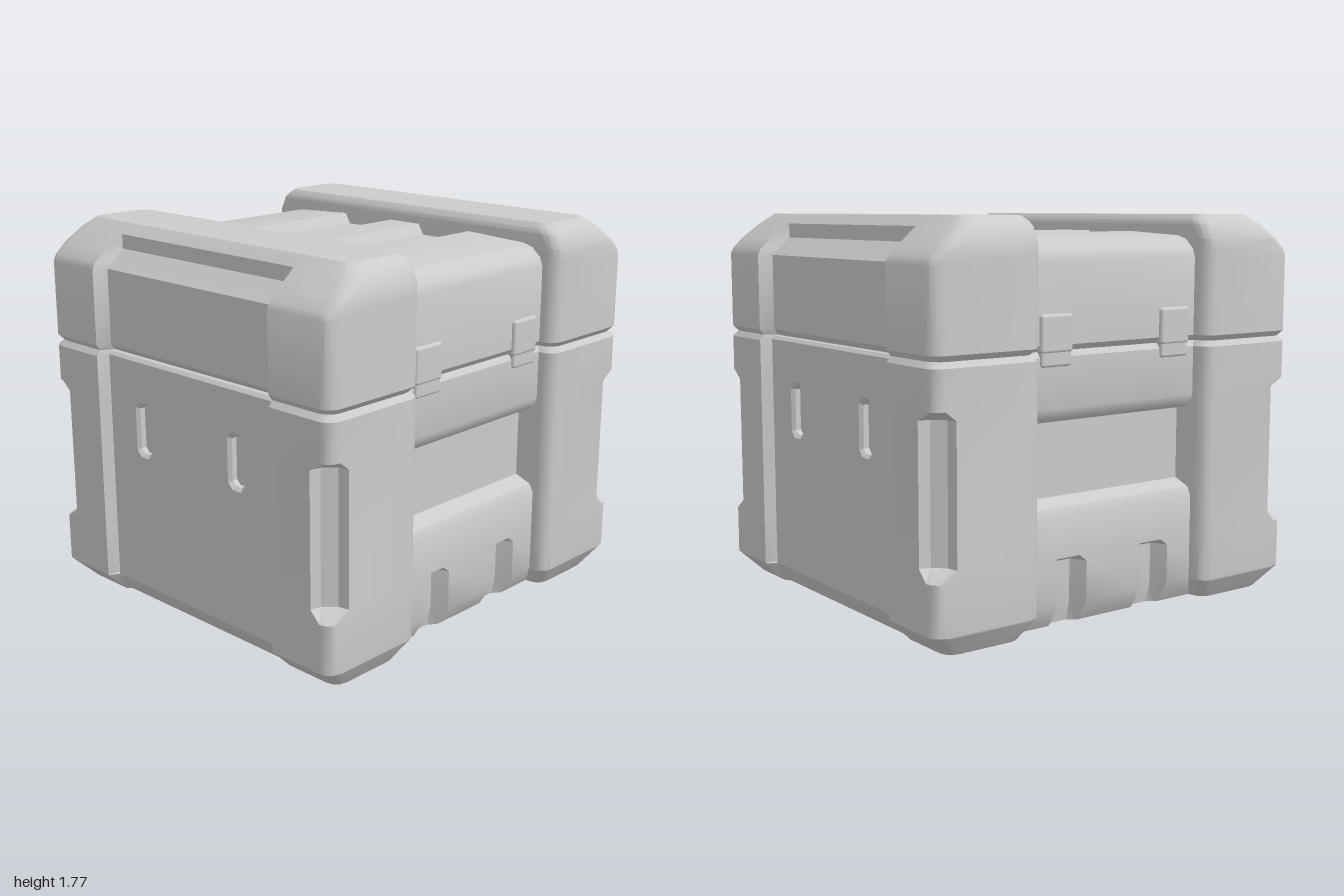
import * as THREE from 'three';
import { toCreasedNormals } from 'three/addons/utils/BufferGeometryUtils.js';
import { RoundedBoxGeometry } from 'three/addons/geometries/RoundedBoxGeometry.js';

const material = new THREE.MeshStandardMaterial({ color: 0xcccccc });

function addPart(parent, name, geometry) {
  const mesh = new THREE.Mesh(geometry, material);
  mesh.name = name;
  parent.add(mesh);
  return mesh;
}

// Skin rings of equal length stacked along +x or +y, with both ends capped.
function loft(rings, axis) {
  const flat = (p) => (axis === 'y' ? new THREE.Vector2(p.z, p.x) : new THREE.Vector2(p.y, p.z));
  if (THREE.ShapeUtils.isClockWise(rings[0].map(flat))) rings = rings.map((r) => r.slice().reverse());
  const n = rings[0].length, last = rings.length - 1, index = [];
  for (let r = 0; r < last; r++) {
    for (let i = 0; i < n; i++) {
      const a = r * n + i, b = r * n + (i + 1) % n;
      index.push(a, b, b + n, a, b + n, a + n);
    }
  }
  for (const [a, b, c] of THREE.ShapeUtils.triangulateShape(rings[0].map(flat), [])) index.push(a, c, b);
  for (const t of THREE.ShapeUtils.triangulateShape(rings[last].map(flat), [])) index.push(...t.map((i) => i + last * n));
  const geometry = new THREE.BufferGeometry().setFromPoints(rings.flat());
  geometry.setIndex(index);
  return toCreasedNormals(geometry.toNonIndexed(), 0.55);
}

// Horizontal outline of an end frame: two corner posts with a set-back middle.
function frameRing(side, [y, xOut, xMid, z, xIn, notched]) {
  const r = 0.06, half = [];
  const arc = (cx, cz, from) => {
    for (let i = 0; i < 4; i++) {
      const a = from - (i / 3) * Math.PI / 2;
      half.push([cx + r * Math.cos(a), cz + r * Math.sin(a)]);
    }
  };
  arc(xIn + r, z - r, Math.PI);
  if (notched) half.push([0.89, z], [0.9, 0.86], [0.95, 0.81], [xOut, 0.8]);
  else arc(xOut - r, z - r, Math.PI / 2);
  half.push([xOut, 0.57], [xMid, 0.54]);
  const back = half.map(([x, zz]) => [x, -zz]).reverse();
  return [...half, ...back].map(([x, zz]) => new THREE.Vector3(side * x, y, zz));
}

// Front-to-back section of the centre, mirrored from its front half of [z, y].
function sectionRing(x, half) {
  const back = half.map(([z, y]) => [-z, y]).reverse();
  return [...half, ...back].map(([z, y]) => new THREE.Vector3(x, y, z));
}

// Side panel with two bevelled grip slots.
function sidePanelGeometry() {
  const shape = new THREE.Shape();
  shape.moveTo(-0.56, 0.085).lineTo(0.56, 0.085).lineTo(0.56, 1.2).lineTo(-0.56, 1.2).closePath();
  for (const z of [-0.31, 0.31]) {
    const w = 0.04, c = 0.02, b = 0.755, t = 0.985;
    const hole = new THREE.Path();
    hole.moveTo(z - w, b + c).lineTo(z - w, t - c).lineTo(z - w + c, t).lineTo(z + w - c, t);
    hole.lineTo(z + w, t - c).lineTo(z + w, b + c).lineTo(z + w - c, b).lineTo(z - w + c, b).closePath();
    shape.holes.push(hole);
  }
  const bevel = 0.015;
  const geometry = new THREE.ExtrudeGeometry(shape, {
    depth: 0.03, bevelEnabled: true, bevelSize: bevel, bevelThickness: bevel, bevelOffset: -bevel, bevelSegments: 1,
  });
  geometry.rotateY(Math.PI / 2).translate(0.905, 0, 0);
  return geometry;
}

export function createModel() {
  const crate = new THREE.Group();
  crate.name = 'crate';

  // Levels: y, outer x, middle x, z, inner x, corner notch
  const baseLevels = [
    [0, 0.9, 0.88, 0.85, 0.52],
    [0.09, 0.99, 0.945, 0.905, 0.465],
    [0.1, 1, 0.95, 0.91, 0.46],
    [0.11, 1, 0.91, 0.91, 0.46],
    [0.32, 1, 0.91, 0.91, 0.46],
    [0.37, 1, 0.91, 0.91, 0.46, true],
    [0.97, 1, 0.91, 0.91, 0.46, true],
    [1.01, 1, 0.91, 0.91, 0.46],
    [1.18, 1, 0.91, 0.91, 0.46],
    [1.205, 0.98, 0.9, 0.89, 0.48],
  ];
  const lidLevels = [
    [1.205, 0.98, 0.92, 0.89, 0.48],
    [1.23, 1, 0.94, 0.91, 0.46],
    [1.58, 1, 0.94, 0.91, 0.46],
    [1.61, 0.985, 0.906, 0.91, 0.46],
    [1.66, 0.93, 0.85, 0.91, 0.46],
    [1.725, 0.855, 0.85, 0.88, 0.46],
    [1.745, 0.83, 0.83, 0.86, 0.466],
    [1.77, 0.8, 0.8, 0.83, 0.49],
  ];

  // End frames on both sides
  for (const side of [1, -1]) {
    const end = new THREE.Group();
    end.name = side > 0 ? 'leftEnd' : 'rightEnd';
    addPart(end, 'baseFrame', loft(baseLevels.map((l) => frameRing(side, l)), 'y'));
    addPart(end, 'lidFrame', loft(lidLevels.map((l) => frameRing(side, l)), 'y'));
    const panel = addPart(end, 'sidePanel', sidePanelGeometry());
    if (side < 0) panel.rotation.y = Math.PI;
    crate.add(end);
  }

  // Centre of the base, with a set-back band and two foot slots front and back
  const baseSection = (slot) => [
    [slot ? 0.74 : 0.77, 0], [slot ? 0.76 : 0.83, 0.1], [slot ? 0.76 : 0.83, 0.28], [0.83, 0.31],
    [0.83, 0.49], [0.81, 0.53], [0.73, 0.56], [0.73, 0.9], [0.79, 0.9], [0.815, 0.92], [0.83, 0.96],
    [0.83, 1.18], [0.81, 1.205],
  ];
  const stations = [[0.54], [0.32], [0.28, true], [0.195, true], [0.155]];
  const baseRings = [
    ...stations.map(([x, slot]) => sectionRing(-x, baseSection(slot))),
    ...stations.reverse().map(([x, slot]) => sectionRing(x, baseSection(slot))),
  ];
  addPart(crate, 'centreBase', loft(baseRings, 'x'));

  // Centre of the lid, with two grooves along its top
  const lidSection = [
    [0.81, 1.205], [0.83, 1.23], [0.83, 1.58], [0.815, 1.62], [0.77, 1.66], [0.72, 1.675],
    [0.4, 1.69], [0.37, 1.64], [0.12, 1.64], [0.09, 1.69],
  ];
  addPart(crate, 'centreLid', loft([-0.54, 0.54].map((x) => sectionRing(x, lidSection)), 'x'));

  // Latches front and back
  for (const x of [-0.335, 0.335]) {
    for (const face of [1, -1]) {
      const latch = new THREE.Group();
      latch.name = face > 0 ? 'frontLatch' : 'backLatch';
      addPart(latch, 'latchPlate', new RoundedBoxGeometry(0.17, 0.165, 0.06, 2, 0.015)).position.y = 1.28;
      addPart(latch, 'latchTongue', new RoundedBoxGeometry(0.16, 0.12, 0.05, 2, 0.012)).position.y = 1.2;
      latch.position.set(x, 0, face * 0.817);
      crate.add(latch);
    }
  }
  return crate;
}
